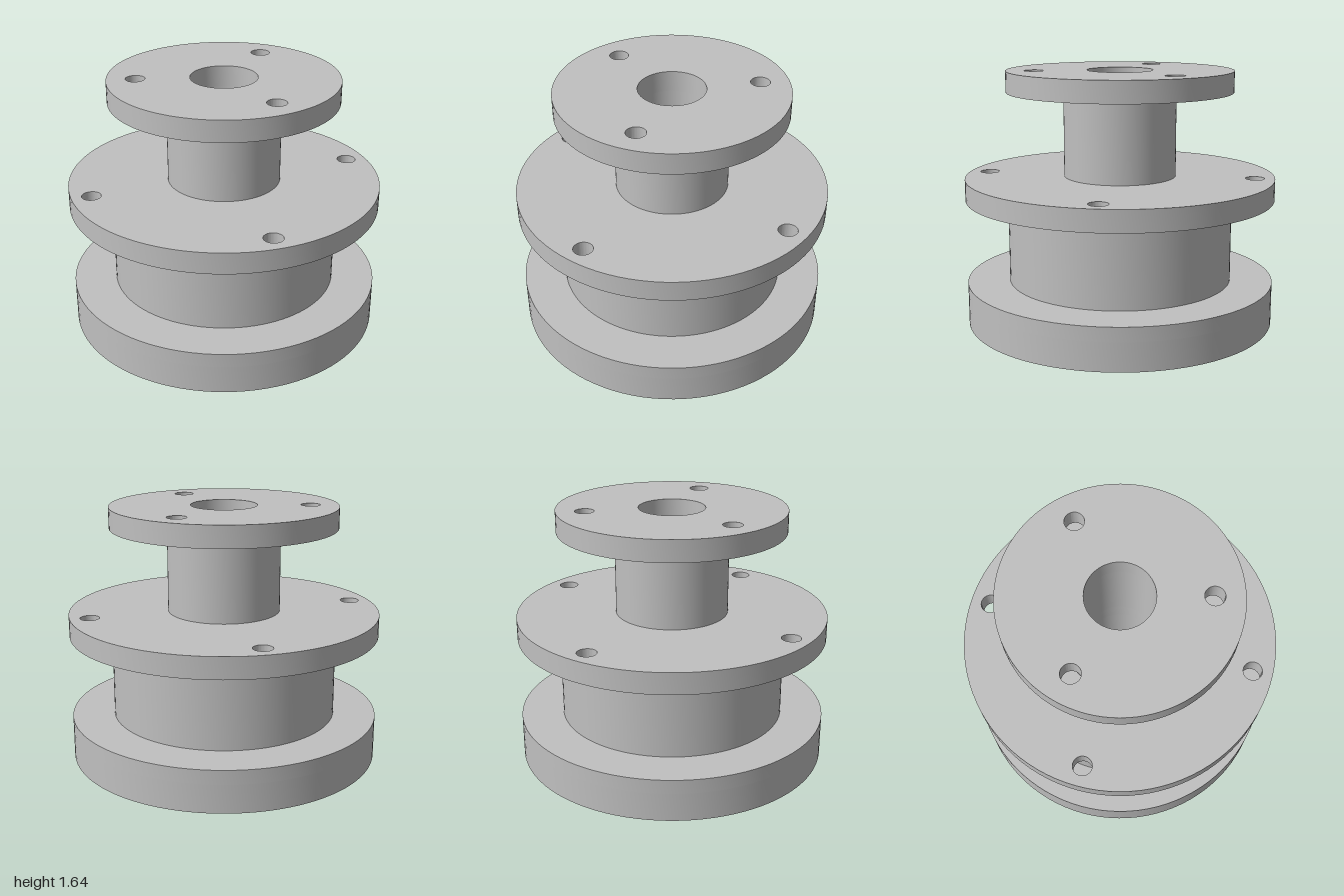
import * as THREE from 'three';
import { toCreasedNormals } from 'three/addons/utils/BufferGeometryUtils.js';

const BORE = 0.211;

// Circular outline, used for discs and for round holes
function circle(PathType, radius, x = 0, y = 0) {
  const path = new PathType();
  path.absarc(x, y, radius, 0, Math.PI * 2, false);
  return path;
}

// Evenly spaced bolt holes on a pitch circle (angle 90 degrees points to the back)
function boltHoles(count, pitch, startDegrees) {
  return Array.from({ length: count }, (_, i) => {
    const a = THREE.MathUtils.degToRad(startDegrees + (i * 360) / count);
    return circle(THREE.Path, 0.061, pitch * Math.cos(a), pitch * Math.sin(a));
  });
}

// Round pocket with a straight slot running to the back
function keyholePocket() {
  const r = 0.348, halfWidth = 0.27, end = 0.882;
  const a = Math.acos(halfWidth / r);
  const path = new THREE.Path();
  path.moveTo(halfWidth, end);
  path.lineTo(halfWidth, r * Math.sin(a));
  path.absarc(0, 0, r, a, Math.PI - a, true);
  path.lineTo(-halfWidth, end);
  path.closePath();
  return path;
}

export function createModel() {
  const group = new THREE.Group();
  const metal = new THREE.MeshStandardMaterial({ color: 0xc0c0c0 });
  metal.name = 'grey metal';

  // Upright disc between two heights, pierced by the given holes
  function addDisc(name, radius, bottom, top, holes) {
    const shape = circle(THREE.Shape, radius);
    shape.holes.push(...holes);
    const extruded = new THREE.ExtrudeGeometry(shape, {
      depth: top - bottom, bevelEnabled: false, curveSegments: 48,
    });
    extruded.rotateX(-Math.PI / 2);
    extruded.translate(0, bottom, 0);
    const mesh = new THREE.Mesh(toCreasedNormals(extruded, 0.5), metal);
    mesh.name = name;
    group.add(mesh);
  }
  const bore = () => circle(THREE.Path, BORE);

  // Base: pocketed underside closed by a plate above
  addDisc('basePocketLayer', 1, 0, 0.182, [keyholePocket()]);
  addDisc('baseTopLayer', 1, 0.182, 0.273, [bore()]);

  // Drum and its four-hole flange
  addDisc('drum', 0.727, 0.273, 0.818, [bore()]);
  addDisc('middleFlange', 1, 0.818, 0.955, [bore(), ...boltHoles(4, 0.872, 45)]);

  // Neck and its three-hole flange
  addDisc('neck', 0.362, 0.955, 1.5, [bore()]);
  addDisc('topFlange', 0.727, 1.5, 1.636, [bore(), ...boltHoles(3, 0.547, 90)]);

  return group;
}
